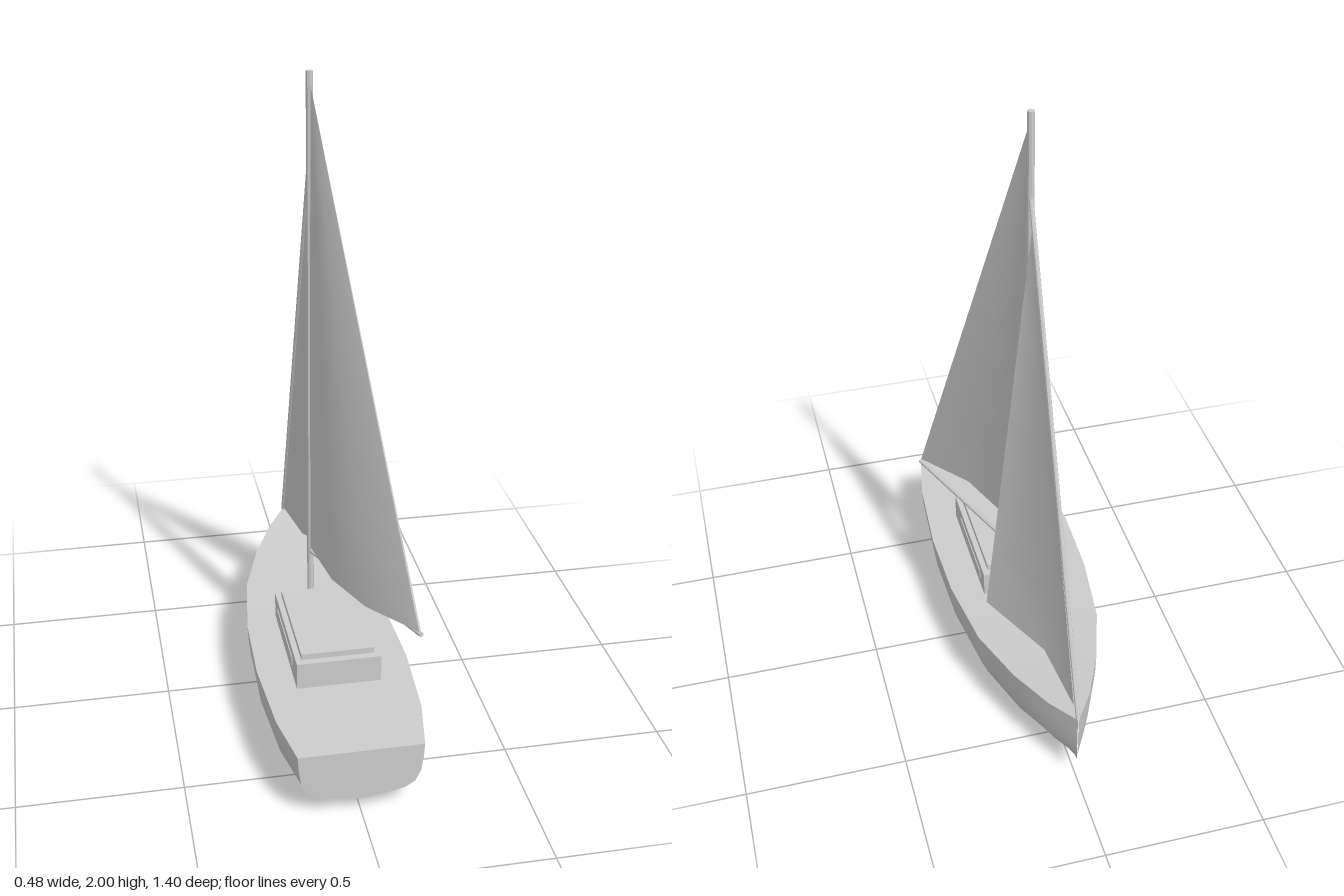
import * as THREE from 'three';
import { toCreasedNormals } from 'three/addons/utils/BufferGeometryUtils.js';

export function createModel() {
  const boat = new THREE.Group();
  boat.name = 'sailboat';
  const grey = new THREE.MeshStandardMaterial({ color: 0xcccccc });
  grey.name = 'plain grey';

  const add = (name, geometry) => {
    const mesh = new THREE.Mesh(geometry, grey);
    mesh.name = name;
    boat.add(mesh);
    return mesh;
  };

  // surface through rows of points, all rows equally long
  const loft = (rows) => {
    const n = rows[0].length, index = [];
    for (let i = 0; i < rows.length - 1; i++) {
      for (let j = 0; j < n - 1; j++) {
        const a = i * n + j, b = a + n;
        index.push(a, a + 1, b, b, a + 1, b + 1);
      }
    }
    const g = new THREE.BufferGeometry();
    g.setAttribute('position', new THREE.Float32BufferAttribute(rows.flat(2), 3));
    g.setIndex(index);
    g.computeVertexNormals();
    return g;
  };

  // eight-sided spar between two points
  const spar = (name, from, to, radius) => {
    const a = new THREE.Vector3(...from), b = new THREE.Vector3(...to);
    const dir = b.clone().sub(a);
    const tube = new THREE.CylinderGeometry(radius, radius, dir.length(), 8);
    const mesh = add(name, toCreasedNormals(tube, 0.5));
    mesh.position.copy(a).add(b).multiplyScalar(0.5);
    mesh.quaternion.setFromUnitVectors(new THREE.Vector3(0, 1, 0), dir.normalize());
  };

  const box = (name, w, h, d, x, y, z) => {
    add(name, new THREE.BoxGeometry(w, h, d)).position.set(x, y, z);
  };

  // hull stations from bow to stern: z, half beam, sheer height, keel height
  const stations = [
    [-0.70, 0.001, 0.262, 0.085], [-0.60, 0.065, 0.249, 0.065],
    [-0.45, 0.135, 0.236, 0.036], [-0.25, 0.20, 0.224, 0.012],
    [0.00, 0.233, 0.217, 0.00], [0.25, 0.24, 0.215, 0.006],
    [0.52, 0.222, 0.215, 0.026], [0.70, 0.188, 0.215, 0.045],
  ];
  // half section from sheer to keel: share of beam, share of depth
  const profile = [[1, 1], [0.985, 0.72], [0.95, 0.45], [0.86, 0.24], [0.7, 0.13], [0.4, 0.06], [0, 0]];
  const section = [
    ...profile.map(([u, v]) => [-u, v]),
    ...profile.slice(0, -1).reverse(),
  ];
  const rows = stations.map(([z, beam, top, keel]) =>
    section.map(([u, v]) => [u * beam, keel + v * (top - keel), z]));
  add('hull', loft(rows));

  // deck follows the sheer line
  add('deck', loft(stations.map(([z, beam, top]) => [[beam, top, z], [-beam, top, z]])));

  // flat transom closes the stern
  const stern = new THREE.Shape(rows.at(-1).map(([x, y]) => new THREE.Vector2(x, y)));
  add('transom', new THREE.ShapeGeometry(stern)).position.z = 0.70;

  // cabin with raised roof and side strips
  box('cabin', 0.264, 0.09, 0.42, 0, 0.257, 0.155);
  box('cabinRoof', 0.228, 0.02, 0.372, 0, 0.311, 0.155);
  for (const side of [-1, 1]) box('cabinSideStrip', 0.004, 0.03, 0.28, side * 0.133, 0.26, 0.14);

  // rigging
  spar('mast', [0, 0.21, -0.13], [0, 2.0, -0.13], 0.011);
  spar('boom', [0, 0.408, -0.13], [0.234, 0.42, 0.447], 0.008);
  spar('forestay', [0, 1.74, -0.135], [0, 0.262, -0.697], 0.007);

  // thin two-sided sail: bent foot tapering straight to the head
  const sail = (name, head, foot) => {
    const shift = (x) => foot.map((p) => [p[0] + x, p[1], p[2]]);
    const loop = (x) => {
      const near = shift(-x);
      return [...near, ...shift(x).reverse(), near[0]];
    };
    const sailRows = [loop(0)];
    for (let i = 0; i <= 6; i++) {
      const t = Math.min(i / 6, 0.999);
      sailRows.push(loop(0.003).map((p) => p.map((v, k) => v + (head[k] - v) * t)));
    }
    add(name, toCreasedNormals(loft(sailRows), 0.7));
  };
  sail('mainSail', [0, 1.97, -0.125],
    [[0, 0.43, -0.115], [0.03, 0.43, 0.1], [0.1, 0.432, 0.28], [0.23, 0.43, 0.445]]);
  sail('jib', [0, 1.66, -0.15],
    [[0, 0.285, -0.66], [0.028, 0.302, -0.43], [0.155, 0.32, -0.195]]);

  return boat;
}
